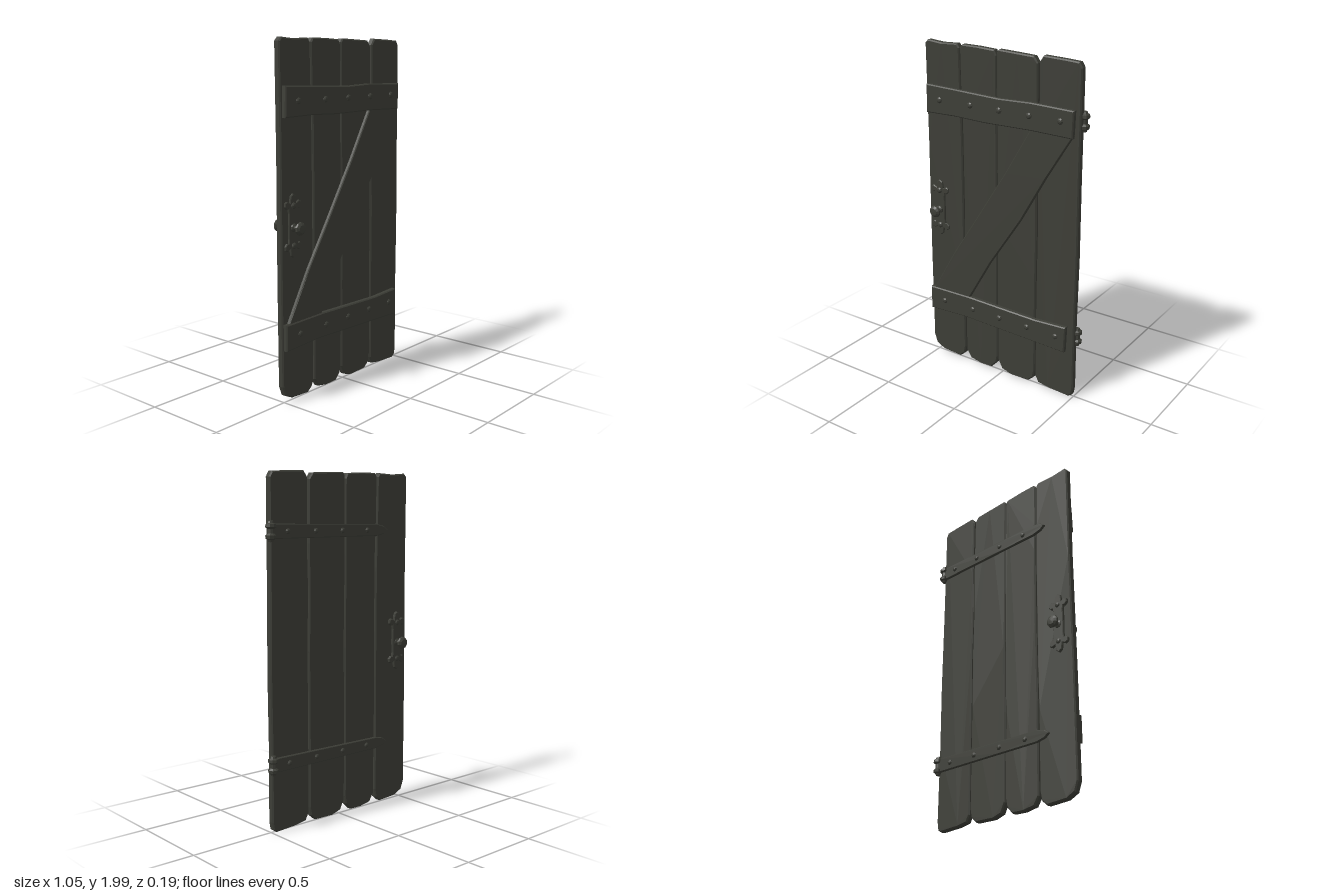
import * as THREE from 'three';

export function createModel() {
  const door = new THREE.Group();
  door.name = 'plankDoor';
  const darkWood = new THREE.MeshStandardMaterial({ color: 0x3d3e37, flatShading: true });
  darkWood.name = 'darkWood';

  const add = (name, geometry, parent = door) => {
    const mesh = new THREE.Mesh(geometry, darkWood);
    mesh.name = name;
    parent.add(mesh);
    return mesh;
  };

  // Chamfered board cut from an outline, spanning z0 to z1
  const slab = (name, points, z0, z1, bevel, parent) => {
    const shape = new THREE.Shape(points.map(([x, y]) => new THREE.Vector2(x, y)));
    const geometry = new THREE.ExtrudeGeometry(shape, {
      depth: z1 - z0 - 2 * bevel, bevelEnabled: true, bevelSegments: 1,
      bevelSize: bevel, bevelThickness: bevel, bevelOffset: -bevel, curveSegments: 5,
    });
    geometry.translate(0, 0, z0 + bevel);
    return add(name, geometry, parent);
  };

  // Round part with its axis along z, facing +z or -z
  const turned = (name, profile, sides, x, y, z, dir, parent) => {
    const geometry = new THREE.LatheGeometry(profile.map(([r, h]) => new THREE.Vector2(r, h)), sides);
    geometry.rotateX(dir * Math.PI / 2);
    const mesh = add(name, geometry, parent);
    mesh.position.set(x, y, z);
    return mesh;
  };
  const rivet = (x, y, z, dir, r = 0.018, parent = door) =>
    turned('rivet', [[r, -0.004], [r, 0.003], [r * 0.6, 0.009], [0, 0.011]], 8, x, y, z, dir, parent);

  // Four uneven planks with worn ends
  const planks = [
    [[-0.525, 0.11], [-0.505, 0.055], [-0.45, 0.028], [-0.32, 0.02], [-0.285, 0.05], [-0.274, 0.1],
      [-0.277, 0.55], [-0.273, 0.8], [-0.275, 1.45], [-0.281, 1.7], [-0.286, 1.975], [-0.3, 1.997],
      [-0.41, 1.992], [-0.505, 2], [-0.525, 1.98], [-0.522, 1.4], [-0.526, 0.7]],
    [[-0.266, 0.08], [-0.235, 0.032], [-0.16, 0.018], [-0.08, 0.02], [-0.042, 0.06], [-0.031, 0.11],
      [-0.034, 0.6], [-0.03, 1], [-0.034, 1.35], [-0.036, 1.96], [-0.05, 1.99], [-0.16, 1.996],
      [-0.265, 1.997], [-0.281, 1.975], [-0.277, 1.72], [-0.27, 1.55], [-0.267, 1.1], [-0.27, 0.6]],
    [[-0.028, 0.09], [0.0, 0.035], [0.06, 0.016], [0.19, 0.018], [0.226, 0.05], [0.236, 0.1],
      [0.234, 0.7], [0.237, 1], [0.23, 1.3], [0.234, 1.6], [0.23, 1.95], [0.205, 1.985],
      [0.1, 1.99], [-0.02, 1.995], [-0.033, 1.975], [-0.031, 1.35], [-0.026, 1], [-0.031, 0.6]],
    [[0.242, 0.07], [0.262, 0.03], [0.33, 0.018], [0.47, 0.01], [0.493, 0.025], [0.501, 0.07],
      [0.498, 0.5], [0.502, 0.9], [0.498, 1.35], [0.497, 1.955], [0.48, 1.985], [0.4, 1.99],
      [0.265, 1.995], [0.24, 1.96], [0.243, 1.6], [0.236, 1.35], [0.243, 1], [0.24, 0.6]],
  ];
  planks.forEach((points) => slab('plank', points, -0.02, 0.02, 0.007));

  // Front battens and diagonal brace
  slab('topBatten', [[-0.51, 1.585], [-0.3, 1.589], [-0.1, 1.583], [0.2, 1.588], [0.465, 1.583],
    [0.47, 1.735], [0.2, 1.742], [0, 1.735], [-0.25, 1.744], [-0.505, 1.752]], 0.015, 0.046, 0.006);
  slab('bottomBatten', [[-0.517, 0.318], [-0.25, 0.33], [0, 0.322], [0.25, 0.315], [0.45, 0.308],
    [0.456, 0.47], [0.25, 0.46], [0, 0.466], [-0.22, 0.472], [-0.517, 0.468]], 0.015, 0.047, 0.006);
  slab('brace', [[-0.5, 0.45], [-0.235, 0.45], [-0.07, 0.735], [0.14, 1.05], [0.3, 1.33],
    [0.467, 1.6], [0.205, 1.6], [0.04, 1.32], [-0.17, 0.99], [-0.33, 0.745]], 0.014, 0.04, 0.005);

  const hingeHeights = [1.67, 0.397];
  for (const y of hingeHeights) {
    for (const x of [-0.41, -0.195, 0, 0.195, 0.39]) rivet(x, y, 0.046, 1);

    // Pointed iron strap on the back
    slab('hingeStrap', [[-0.355, y], [-0.325, y - 0.022], [-0.27, y - 0.034], [0, y - 0.036],
      [0.47, y - 0.04], [0.49, y - 0.025], [0.49, y + 0.025], [0.47, y + 0.04], [0, y + 0.036],
      [-0.27, y + 0.034], [-0.325, y + 0.022]], -0.035, -0.016, 0.004);
    for (const x of [-0.19, 0, 0.195, 0.39]) rivet(x, y, -0.034, -1, 0.016);

    // Hinge barrel with two swollen knuckles
    const profile = [[0, -0.057], [0.014, -0.055], [0.018, -0.044], [0.028, -0.038], [0.03, -0.022],
      [0.018, -0.012], [0.018, 0.012], [0.03, 0.022], [0.028, 0.038], [0.018, 0.044],
      [0.014, 0.055], [0, 0.057]];
    const barrel = add('hingeBarrel', new THREE.LatheGeometry(
      profile.map(([r, h]) => new THREE.Vector2(r, h)), 8));
    barrel.position.set(0.496, y, -0.024);
  }

  // Handle plate half-outline, mirrored into a bar with three-lobed ends
  const quarter = [[0.035, 0], [0.033, 0.07], [0.037, 0.095], [0.05, 0.093], [0.064, 0.108],
    [0.062, 0.128], [0.046, 0.136], [0.024, 0.126], [0.022, 0.145], [0.018, 0.163], [0, 0.176]];
  const right = [...quarter.slice(1).reverse().map(([x, y]) => [x, -y]), ...quarter];
  const outline = [...right, ...right.slice(1, -1).reverse().map(([x, y]) => [-x, y])];

  for (const dir of [1, -1]) {
    const handle = new THREE.Group();
    handle.name = dir > 0 ? 'frontHandle' : 'backHandle';
    handle.position.set(-0.44, 1.005, 0);
    door.add(handle);
    const [z0, z1] = dir > 0 ? [0.015, 0.031] : [-0.035, -0.015];
    slab('handlePlate', outline, z0, z1, 0.004, handle);
    for (const y of [-0.11, 0.11]) rivet(0, y, dir * 0.032, dir, 0.018, handle);
    // Flattened knob on a short stem
    turned('knob', [[0.024, 0], [0.022, 0.01], [0.012, 0.016], [0.012, 0.036], [0.026, 0.039],
      [0.037, 0.048], [0.035, 0.058], [0.022, 0.067], [0, 0.069]], 10, 0, -0.01, dir * 0.028, dir, handle);
  }
  return door;
}
